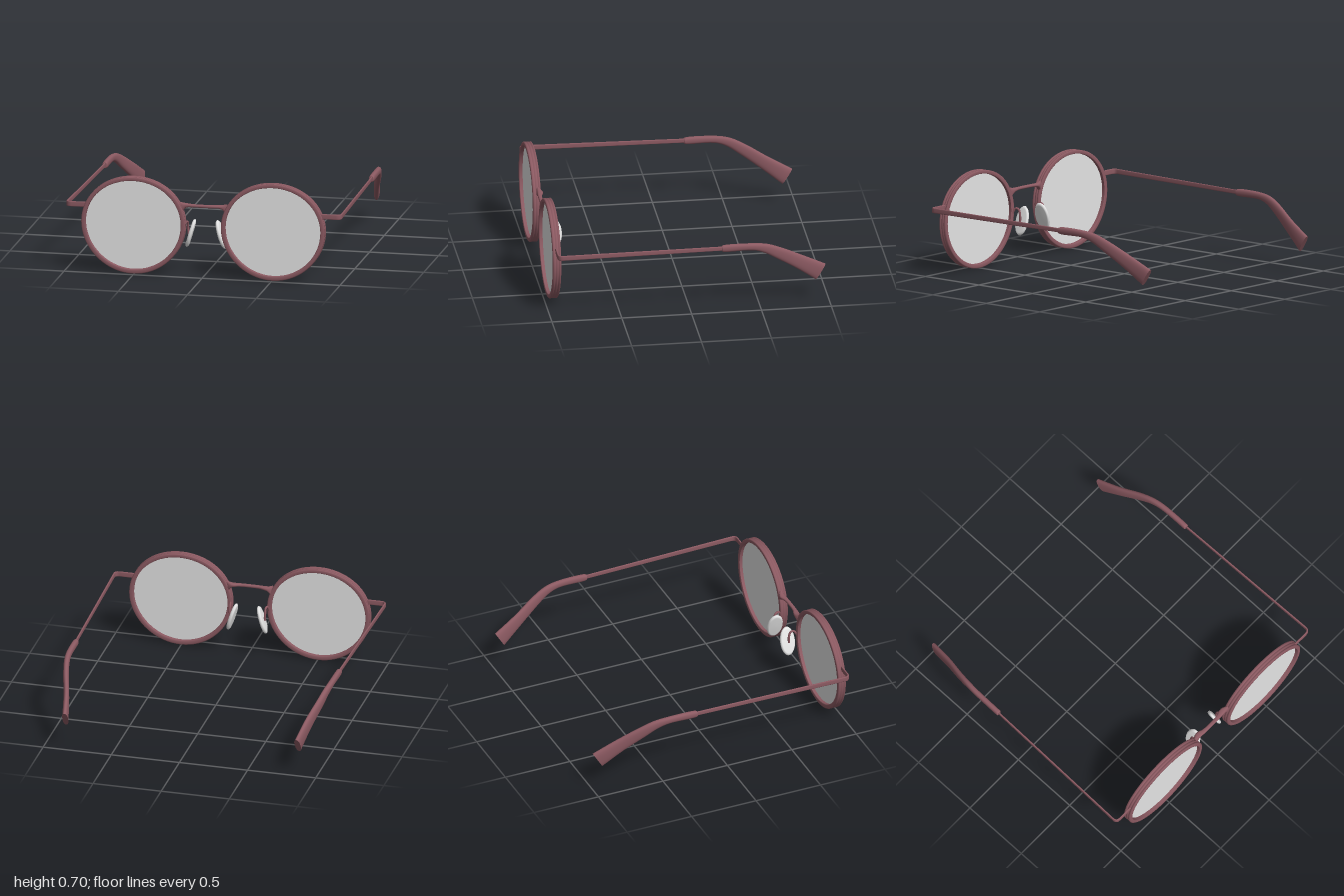
import * as THREE from 'three';

const V = (x, y, z) => new THREE.Vector3(x, y, z);

// Closed tube through stations { c: centre, u, v: half axes }, where u x v points along the path;
// power < 1 squares the section.
function loft(stations, sides = 20, power = 1) {
  const pos = [], index = [];
  const bend = (t) => Math.sign(t) * Math.abs(t) ** power;
  const ring = ({ c, u, v }) => {
    for (let i = 0; i < sides; i++) {
      const a = (i / sides) * Math.PI * 2;
      const p = c.clone().addScaledVector(u, bend(Math.cos(a))).addScaledVector(v, bend(Math.sin(a)));
      pos.push(p.x, p.y, p.z);
    }
  };
  stations.forEach(ring);
  for (let s = 0; s < stations.length - 1; s++) {
    for (let i = 0; i < sides; i++) {
      const a = s * sides + i, b = s * sides + (i + 1) % sides;
      index.push(a, b, b + sides, a, b + sides, a + sides);
    }
  }
  // end caps on their own vertices, so their edges stay sharp
  [stations[0], stations[stations.length - 1]].forEach((st, end) => {
    const base = pos.length / 3;
    ring(st);
    pos.push(st.c.x, st.c.y, st.c.z);
    for (let i = 0; i < sides; i++) {
      const a = base + i, b = base + (i + 1) % sides;
      index.push(base + sides, ...(end ? [a, b] : [b, a]));
    }
  });
  const g = new THREE.BufferGeometry();
  g.setAttribute('position', new THREE.Float32BufferAttribute(pos, 3));
  g.setIndex(index);
  g.computeVertexNormals();
  return g;
}

// Copy of a geometry reflected in x, with its faces turned the right way out.
function mirrored(geometry) {
  const g = geometry.clone().scale(-1, 1, 1);
  const id = g.index.array;
  for (let i = 0; i < id.length; i += 3) [id[i], id[i + 1]] = [id[i + 1], id[i]];
  return g;
}

// Turns a round part to face +z and gives it the eye outline, widest just above the middle.
function eyeShape(geometry) {
  geometry.rotateX(Math.PI / 2).scale(1.069, 1, 1);
  const p = geometry.attributes.position;
  for (let i = 0; i < p.count; i++) {
    const y = p.getY(i);
    p.setY(i, y + 0.015 * (1 - (y / 0.352) ** 2));
  }
  return geometry.translate(0.506, 0.355, 0.945);
}

// Rim with three beads parted by narrow grooves.
function rimGeometry() {
  const profile = [
    [0.323, -0.026], [0.328, -0.03], [0.345, -0.03], [0.352, -0.026], [0.352, -0.015], [0.343, -0.011],
    [0.351, -0.007], [0.351, 0.006], [0.343, 0.01], [0.352, 0.014], [0.352, 0.025], [0.345, 0.03],
    [0.328, 0.03], [0.323, 0.026], [0.323, -0.026],
  ].map(([r, z]) => new THREE.Vector2(r, z));
  return eyeShape(new THREE.LatheGeometry(profile, 72));
}

// Flat metal strip: hinge end piece, rounded corner and long temple arm.
function templeGeometry() {
  const path = [[0.85, 0.95, 0.019], [0.96, 0.95, 0.019], [0.975, 0.948, 0.019], [0.986, 0.941, 0.019],
    [0.992, 0.93, 0.019], [0.993, 0.915, 0.018], [0.98, 0.36, 0.0165], [0.966, -0.26, 0.015]];
  return loft(path.map(([x, z, half], i) => {
    const a = path[Math.max(i - 1, 0)], b = path[Math.min(i + 1, path.length - 1)];
    const along = V(b[0] - a[0], 0, b[1] - a[1]).normalize();
    return {
      c: V(x, 0.486 - Math.max(0, 0.9 - z) * 0.004, z),
      u: V(0, 1, 0).cross(along).multiplyScalar(0.006),
      v: V(0, half, 0),
    };
  }), 20, 0.5);
}

// Sleeve that bends down behind the ear and flares to a cut end.
function tipGeometry() {
  const top = new THREE.CatmullRomCurve3([
    V(0.966, 0.5, -0.22), V(0.966, 0.506, -0.235), V(0.962, 0.506, -0.45), V(0.95, 0.49, -0.55),
    V(0.927, 0.445, -0.655), V(0.885, 0.365, -0.8), V(0.85, 0.27, -0.978)]);
  const low = new THREE.CatmullRomCurve3([
    V(0.966, 0.462, -0.22), V(0.966, 0.456, -0.235), V(0.962, 0.455, -0.44), V(0.953, 0.43, -0.52),
    V(0.934, 0.373, -0.61), V(0.89, 0.265, -0.765), V(0.855, 0.155, -0.908)]);
  const stations = [];
  for (let i = 0; i <= 36; i++) {
    const a = top.getPoint(i / 36), b = low.getPoint(i / 36);
    stations.push({
      c: a.clone().add(b).multiplyScalar(0.5),
      u: V(i ? 0.019 + i * 0.00007 : 0.014, 0, 0),
      v: b.sub(a).multiplyScalar(0.5),
    });
  }
  return loft(stations, 24, 0.85);
}

// Bridge bar that thickens backwards and flares where it meets the rims.
function bridgeGeometry() {
  // x, centre y, half height, centre z, half depth
  const half = [[0.04, 0.513, 0.011, 0.938, 0.014], [0.08, 0.513, 0.011, 0.935, 0.016],
    [0.11, 0.513, 0.012, 0.928, 0.021], [0.13, 0.511, 0.016, 0.927, 0.021],
    [0.142, 0.506, 0.023, 0.928, 0.02], [0.154, 0.498, 0.034, 0.931, 0.018], [0.168, 0.488, 0.049, 0.935, 0.014]];
  const rows = [...half.map(([x, ...r]) => [-x, ...r]).reverse(), ...half];
  return loft(rows.map(([x, y, h, z, d]) => ({ c: V(x, y, z), u: V(0, h, 0), v: V(0, 0, d) })), 20, 0.8);
}

// Flat oval pad with a rounded edge, lying in the y-z plane before it is tilted.
function padGeometry() {
  const profile = [[0, -0.014], [0.82, -0.013], [0.94, -0.009], [1, 0], [0.94, 0.009], [0.82, 0.013], [0, 0.014]]
    .map(([r, t]) => new THREE.Vector2(r, t));
  return new THREE.LatheGeometry(profile, 40).rotateZ(Math.PI / 2).scale(1, 0.107, 0.058)
    .rotateY(-0.08).rotateZ(0.29).translate(0.11, 0.295, 0.862);
}

export function createModel() {
  const frame = new THREE.MeshStandardMaterial({ color: 0x8c5a62 });
  frame.name = 'frame mauve';
  const glass = new THREE.MeshStandardMaterial({ color: 0xe4e4e4 });
  glass.name = 'lens grey';
  const silicone = new THREE.MeshStandardMaterial({ color: 0xe8e8e8 });
  silicone.name = 'pad pale grey';

  const model = new THREE.Group();
  model.name = 'eyeglasses';
  const add = (name, geometry, material) => {
    const m = new THREE.Mesh(geometry, material);
    m.name = name;
    model.add(m);
  };
  const addPair = (name, geometry, material) => {
    add('left' + name, geometry, material);
    add('right' + name, mirrored(geometry), material);
  };

  addPair('Rim', rimGeometry(), frame);
  addPair('Lens', eyeShape(new THREE.CylinderGeometry(0.329, 0.329, 0.009, 72)), glass);
  add('bridge', bridgeGeometry(), frame);
  addPair('Temple', templeGeometry(), frame);
  addPair('TempleTip', tipGeometry(), frame);

  // Nose pads on curled wire arms
  addPair('NosePad', padGeometry(), silicone);
  const wire = new THREE.CatmullRomCurve3([V(0.15, 0.3, 0.925), V(0.143, 0.355, 0.918), V(0.135, 0.383, 0.9),
    V(0.13, 0.378, 0.877), V(0.13, 0.34, 0.864), V(0.126, 0.29, 0.866)]);
  addPair('PadArm', new THREE.TubeGeometry(wire, 32, 0.008, 10), frame);

  return model;
}
